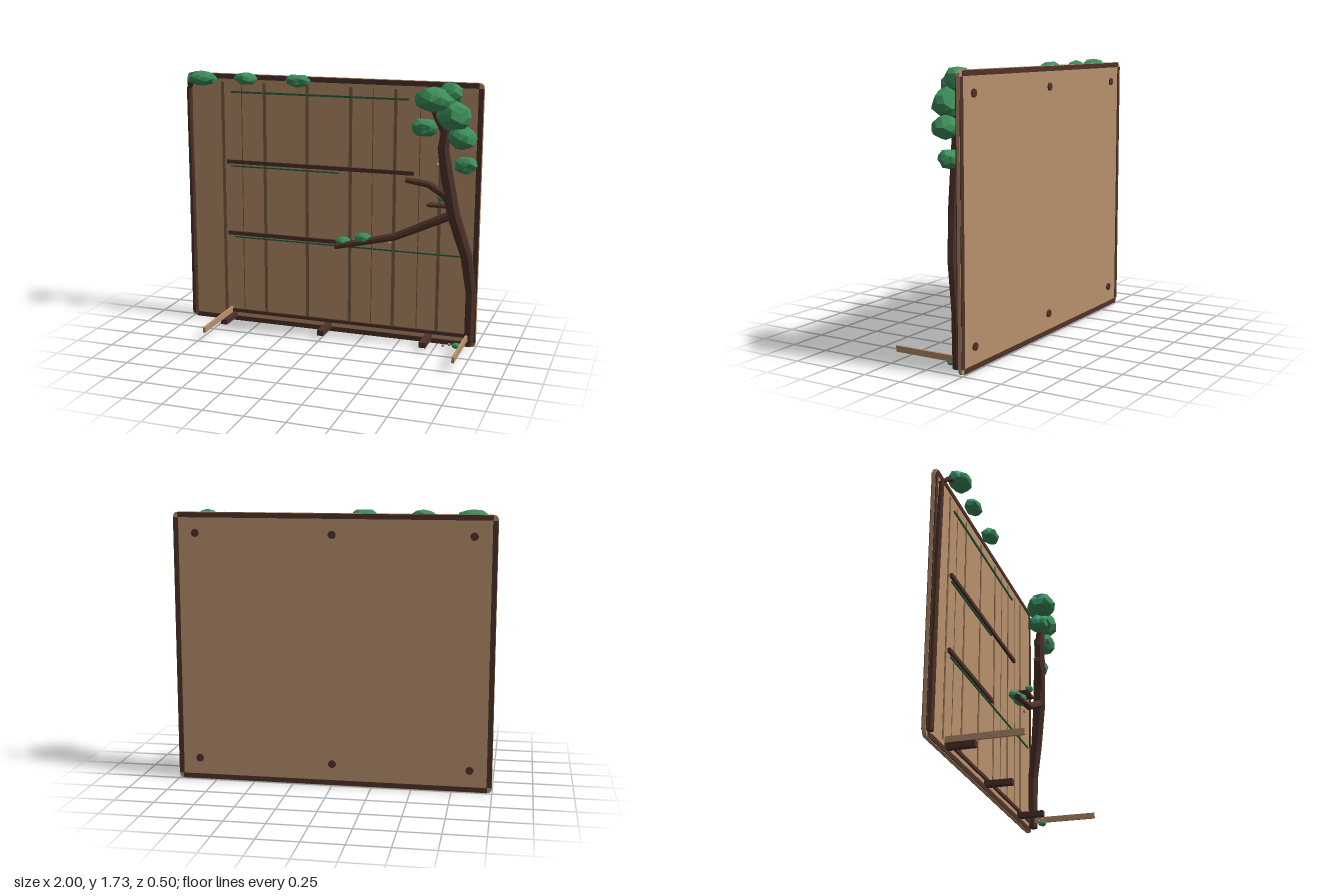
import * as THREE from 'three';

const mat = (name, color) => Object.assign(new THREE.MeshStandardMaterial({ color }), { name });

export function createModel() {
  const root = new THREE.Group();
  root.name = 'treeWallPanel';
  const wood = mat('panelWood', 0xb8906c);
  const bark = mat('bark', 0x4e3229);
  const groove = mat('groove', 0x7d5f45);
  const leaf = mat('leaf', 0x3d8f5c);
  const mint = mat('mintLeaf', 0x4fc0a0);
  const vine = mat('vine', 0x2a5f3c);

  const add = (name, geo, material) => {
    const m = new THREE.Mesh(geo, material);
    m.name = name;
    root.add(m);
    return m;
  };
  // Box given by its limits on each axis
  const box = (name, material, x0, x1, y0, y1, z0, z1) => {
    const m = add(name, new THREE.BoxGeometry(x1 - x0, y1 - y0, z1 - z0), material);
    m.position.set((x0 + x1) / 2, (y0 + y1) / 2, (z0 + z1) / 2);
    return m;
  };

  // Faceted limb through [x, y, z, radius] points, with closed ends
  const limb = (name, pts, sides = 8) => {
    const P = pts.map((p) => new THREE.Vector3(p[0], p[1], p[2]));
    const pos = [], idx = [], n = P.length;
    P.forEach((p, i) => {
      const t = P[Math.min(i + 1, n - 1)].clone().sub(P[Math.max(i - 1, 0)]).normalize();
      const u = new THREE.Vector3(0, 0, 1).cross(t).normalize();
      const v = t.clone().cross(u);
      for (let k = 0; k < sides; k++) {
        const a = (k + 0.5) / sides * Math.PI * 2;
        const q = p.clone().addScaledVector(u, Math.cos(a) * pts[i][3]).addScaledVector(v, Math.sin(a) * pts[i][3]);
        pos.push(q.x, q.y, q.z);
      }
    });
    P.forEach((p) => pos.push(p.x, p.y, p.z));
    const c0 = n * sides, c1 = c0 + n - 1;
    for (let k = 0; k < sides; k++) {
      const l = (k + 1) % sides;
      for (let i = 0; i < n - 1; i++) {
        const a = i * sides + k, b = i * sides + l;
        idx.push(a, b, b + sides, a, b + sides, a + sides);
      }
      idx.push(c0, l, k, c1, (n - 1) * sides + k, (n - 1) * sides + l);
    }
    const g = new THREE.BufferGeometry();
    g.setAttribute('position', new THREE.Float32BufferAttribute(pos, 3));
    g.setIndex(idx);
    const flat = g.toNonIndexed();
    flat.computeVertexNormals();
    return add(name, flat, bark);
  };

  // Lumpy faceted foliage; a few faces on its right side are mint
  const clump = (name, x, y, z, rx, ry, rz, seed) => {
    const g = new THREE.IcosahedronGeometry(1, 1);
    const p = g.attributes.position, v = new THREE.Vector3();
    for (let i = 0; i < p.count; i++) {
      v.fromBufferAttribute(p, i);
      const s = 0.95 + 0.11 * Math.sin(v.x * 5.1 + seed * 2.3) * Math.cos(v.y * 4.3 + v.z * 3.7 + seed);
      p.setXYZ(i, v.x * s * rx, v.y * s * ry, v.z * s * rz);
    }
    g.computeVertexNormals();
    g.clearGroups();
    for (let i = 0; i < p.count; i += 3) {
      const cx = (p.getX(i) + p.getX(i + 1) + p.getX(i + 2)) / 3 / rx;
      const cy = (p.getY(i) + p.getY(i + 1) + p.getY(i + 2)) / 3 / ry;
      g.addGroup(i, 3, cx < -0.72 && cy < 0.2 ? 1 : 0);
    }
    add(name, g, [leaf, mint]).position.set(x, y, z);
  };

  // Back panel with rounded corners
  const H = 1.71, r = 0.035, s = new THREE.Shape();
  s.moveTo(-1 + r, 0);
  s.lineTo(1 - r, 0);
  s.quadraticCurveTo(1, 0, 1, r);
  s.lineTo(1, H - r);
  s.quadraticCurveTo(1, H, 1 - r, H);
  s.lineTo(-1 + r, H);
  s.quadraticCurveTo(-1, H, -1, H - r);
  s.lineTo(-1, r);
  s.quadraticCurveTo(-1, 0, -1 + r, 0);
  add('panel', new THREE.ExtrudeGeometry(s, { depth: 0.022, bevelEnabled: false, curveSegments: 3 }), wood)
    .position.z = -0.241;

  // Border strips on the front and back
  for (const [z0, z1] of [[-0.219, -0.213], [-0.245, -0.241]]) {
    for (const y of [0.003, H - 0.034]) box('frameRail', bark, -0.97, 0.97, y, y + 0.031, z0, z1);
    for (const x of [-0.998, 0.967]) box('frameStile', bark, x, x + 0.031, 0.035, H - 0.035, z0, z1);
  }

  // Plank grooves, wide and narrow
  for (let i = 0; i < 6; i++) {
    const x = -0.745 + i * 0.297;
    box('groove', groove, x - 0.011, x + 0.011, 0.07, 1.655, -0.219, -0.217);
  }
  for (const x of [-0.61, 0.295, 0.605]) box('fineGroove', groove, x - 0.003, x + 0.003, 0.08, 1.65, -0.219, -0.217);

  // Bolt heads on the back
  for (const x of [-0.86, 0, 0.86]) for (const y of [0.14, 1.58]) {
    const b = add('bolt', new THREE.CylinderGeometry(0.025, 0.025, 0.009, 10), bark);
    b.rotation.x = Math.PI / 2;
    b.position.set(x, y, -0.2455);
  }

  // Horizontal rails and vines
  box('upperRail', bark, -0.715, 0.57, 1.11, 1.135, -0.219, -0.2);
  box('lowerRail', bark, -0.715, 0.1, 0.617, 0.642, -0.219, -0.2);
  box('bottomRail', bark, -0.7, 0.95, 0.065, 0.087, -0.219, -0.205);
  box('topVine', vine, -0.68, 0.53, 1.585, 1.597, -0.219, -0.209);
  box('middleVine', vine, -0.69, 0.07, 1.088, 1.097, -0.219, -0.209);
  box('lowerVine', vine, -0.67, 0.91, 0.598, 0.607, -0.219, -0.209);

  // Feet and projecting arms
  for (const x of [-0.69, 0, 0.69]) box('foot', bark, x - 0.022, x + 0.022, 0.025, 0.06, -0.22, -0.04);
  for (const x of [-0.705, 0.95]) box('arm', wood, x - 0.008, x + 0.008, 0.06, 0.097, -0.22, 0.245);

  // Tree trunk, branches and the slim stem at the other side
  limb('trunk', [[0.962, 0.03, -0.192, 0.031], [0.965, 0.38, -0.192, 0.034], [0.935, 0.63, -0.155, 0.038],
    [0.855, 0.9, -0.11, 0.042], [0.81, 1.15, -0.095, 0.04], [0.785, 1.32, -0.085, 0.036], [0.81, 1.5, -0.08, 0.026]]);
  limb('lowerBranch', [[0.85, 0.9, -0.11, 0.03], [0.49, 0.735, -0.08, 0.025], [0.1, 0.645, -0.045, 0.019]]);
  limb('upperBranch', [[0.83, 0.98, -0.105, 0.028], [0.79, 1.03, -0.095, 0.026], [0.7, 1.09, -0.07, 0.022],
    [0.56, 1.115, -0.04, 0.017]]);
  limb('crownBranch', [[0.8, 1.4, -0.085, 0.026], [0.7, 1.6, -0.06, 0.016]]);
  limb('sideStem', [[-0.977, 0.03, -0.202, 0.02], [-0.975, 0.9, -0.2, 0.019], [-0.975, 1.61, -0.188, 0.016],
    [-0.94, 1.65, -0.165, 0.015], [-0.86, 1.675, -0.125, 0.012]]);
  box('perch', bark, 0.675, 0.815, 0.928, 0.944, -0.22, -0.14);

  // Foliage: x, y, z, then radii
  [[-0.845, 1.685, -0.12, 0.105, 0.052, 0.075], [-0.545, 1.69, -0.14, 0.083, 0.042, 0.055],
    [-0.185, 1.69, -0.145, 0.088, 0.044, 0.057], [0.725, 1.62, -0.05, 0.13, 0.082, 0.1],
    [0.815, 1.645, -0.11, 0.085, 0.082, 0.08], [0.85, 1.52, -0.065, 0.118, 0.095, 0.085],
    [0.67, 1.445, -0.06, 0.088, 0.06, 0.07], [0.9, 1.39, -0.08, 0.095, 0.075, 0.08],
    [0.92, 1.215, -0.115, 0.078, 0.058, 0.055], [0.145, 0.678, -0.075, 0.053, 0.03, 0.042],
    [0.28, 0.703, -0.08, 0.062, 0.042, 0.046], [0.77, 0.99, -0.16, 0.035, 0.025, 0.028],
    [0.9, 0.04, -0.11, 0.035, 0.02, 0.03]].forEach((c, i) => clump('foliage', ...c, i));

  // Small wooden buds
  for (const [x, y, z] of [[0.445, 0.685, -0.1], [0.745, 1.21, -0.11], [0.815, 0.04, -0.09], [0.85, 0.04, -0.12]]) {
    add('bud', new THREE.IcosahedronGeometry(0.011, 0), wood).position.set(x, y, z);
  }
  return root;
}
